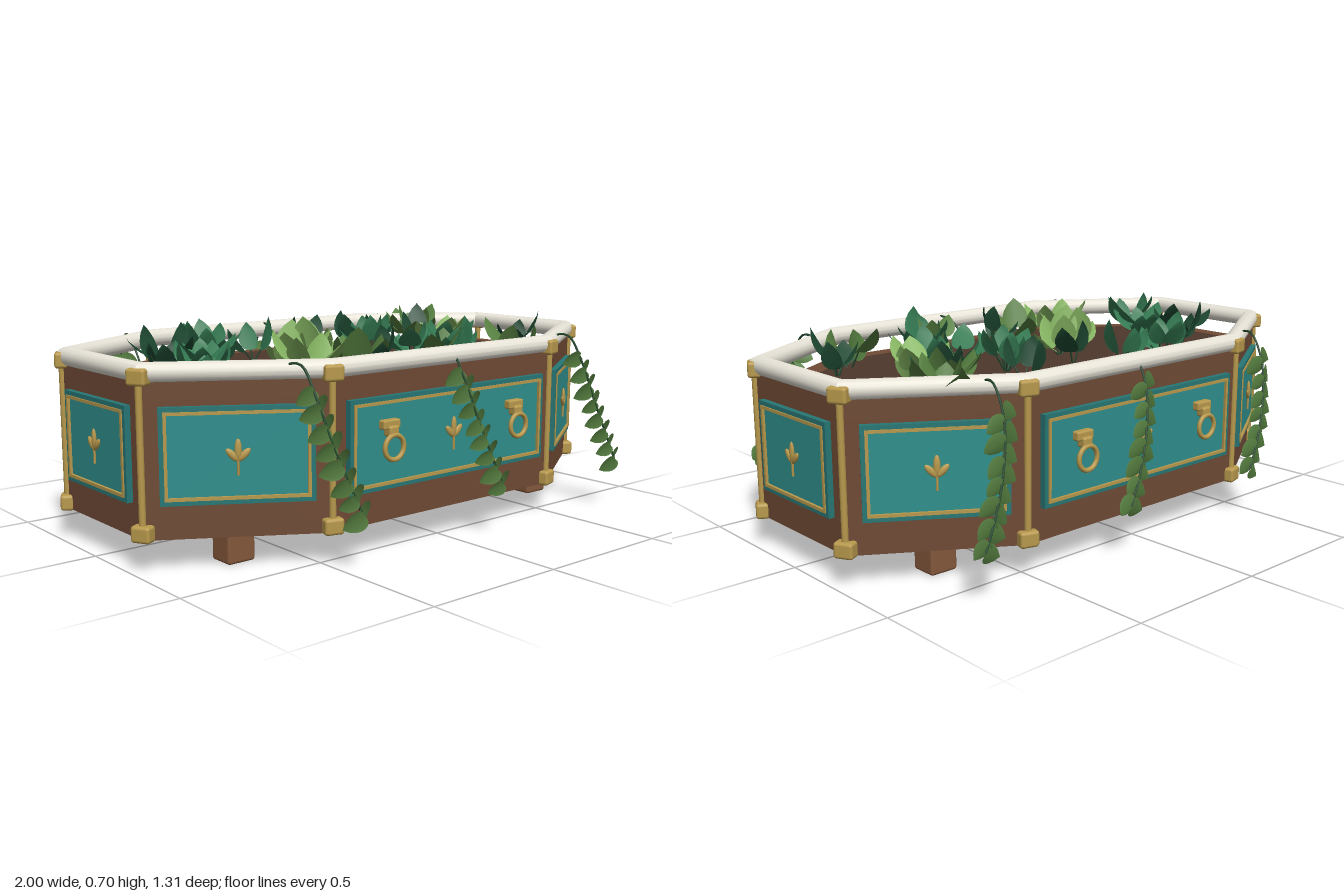
import * as THREE from 'three';
import { toCreasedNormals } from 'three/addons/utils/BufferGeometryUtils.js';
import { RoundedBoxGeometry } from 'three/addons/geometries/RoundedBoxGeometry.js';

const mat = (color, side = THREE.FrontSide) => new THREE.MeshStandardMaterial({ color, side });
const WOOD = mat(0x6f4a35), LEG = mat(0x85593c), SOIL = mat(0x4e372b), RIM = mat(0xe8e4d8);
const TEAL = mat(0x2f8f8d), TRIM = mat(0x277775), GOLD = mat(0xb8994d), STEM = mat(0x24482f);
const GREENS = [0x1f4a33, 0x347a52, 0x567f40, 0x86b562].map(c => mat(c, THREE.DoubleSide));

// Octagonal plan as [x, z]
const PLAN = [[.967, -.245], [.967, .245], [.505, .537], [-.48, .537],
  [-.967, .245], [-.967, -.245], [-.48, -.537], [.505, -.537]];
const N = PLAN.length;

function mesh(parent, name, geometry, material, x = 0, y = 0, z = 0) {
  const m = new THREE.Mesh(geometry, material);
  m.name = name;
  m.position.set(x, y, z);
  parent.add(m);
  return m;
}

function edge(i) {
  const [px, pz] = PLAN[i % N], [qx, qz] = PLAN[(i + 1) % N];
  const length = Math.hypot(qx - px, qz - pz);
  return { length, x: (px + qx) / 2, z: (pz + qz) / 2, nx: (qz - pz) / length, nz: (px - qx) / length };
}

// Plan moved inwards by d with mitred corners
function inset(d) {
  return PLAN.map(([x, z], i) => {
    const a = edge(i + N - 1), b = edge(i);
    const k = d / (1 + a.nx * b.nx + a.nz * b.nz);
    return [x - (a.nx + b.nx) * k, z - (a.nz + b.nz) * k];
  });
}

const toPoints = plan => plan.map(([x, z]) => new THREE.Vector2(x, -z));

function slab(outer, y0, y1, hole) {
  const shape = new THREE.Shape(toPoints(outer));
  if (hole) shape.holes.push(new THREE.Path(toPoints(hole)));
  return new THREE.ExtrudeGeometry(shape, { depth: y1 - y0, bevelEnabled: false })
    .rotateX(-Math.PI / 2).translate(0, y0, 0);
}

// Round rail following the plan
function railGeometry(y, r, d, sides = 14) {
  const pos = [], idx = [];
  for (let k = 0; k < sides; k++) {
    const a = k / sides * Math.PI * 2;
    for (const [x, z] of inset(d - r * Math.cos(a))) pos.push(x, y + r * Math.sin(a), z);
  }
  for (let k = 0; k < sides; k++) for (let i = 0; i < N; i++) {
    const j = (i + 1) % N, a = k * N, b = ((k + 1) % sides) * N;
    idx.push(a + i, b + i, b + j, a + i, b + j, a + j);
  }
  const g = new THREE.BufferGeometry();
  g.setAttribute('position', new THREE.Float32BufferAttribute(pos, 3));
  g.setIndex(idx);
  return toCreasedNormals(g, .55);
}

function rect(S, w, h) {
  return new S([[-w, -h], [w, -h], [w, h], [-w, h]].map(([x, y]) => new THREE.Vector2(x / 2, y / 2)));
}

function frameGeometry(w, h, t, depth) {
  const s = rect(THREE.Shape, w, h);
  s.holes.push(rect(THREE.Path, w - 2 * t, h - 2 * t));
  return new THREE.ExtrudeGeometry(s, { depth, bevelEnabled: false });
}

// Unit leaf with its base at the origin, folded at the midrib and curling back
function leafGeometry(width, notch) {
  const s = new THREE.Shape();
  s.moveTo(0, 0);
  s.bezierCurveTo(width * .7, -notch, width * 1.2, .55, 0, 1);
  s.bezierCurveTo(-width * 1.2, .55, -width * .7, -notch, 0, 0);
  const g = new THREE.ShapeGeometry(s, 8), p = g.attributes.position;
  for (let i = 0; i < p.count; i++) {
    const x = p.getX(i), y = p.getY(i);
    p.setZ(i, Math.abs(x) * .25 - y * y * .12);
  }
  g.computeVertexNormals();
  return g;
}
const LEAF = leafGeometry(.48, .05), HEART = leafGeometry(.6, .25);

// Three-petal ornament
function addEmblem(parent) {
  const g = new THREE.Group();
  g.name = 'emblem';
  g.position.set(0, .35, .022);
  for (const [a, len] of [[-.75, .052], [0, .068], [.75, .052]]) {
    const petal = mesh(g, 'petal', new THREE.SphereGeometry(.5, 12, 8).translate(0, .5, 0), GOLD, 0, -.012);
    petal.scale.set(.022, len, .014);
    petal.rotation.z = a;
  }
  mesh(g, 'emblemStem', new THREE.CylinderGeometry(.004, .004, .045, 8), GOLD, 0, -.032);
  parent.add(g);
}

// Ring pull with its mount
function addHandle(parent, x) {
  mesh(parent, 'handleMount', new RoundedBoxGeometry(.07, .03, .03, 2, .006), GOLD, x, .415, .024);
  mesh(parent, 'handleKnuckle', new RoundedBoxGeometry(.04, .035, .035, 2, .008), GOLD, x, .395, .034);
  mesh(parent, 'handleRing', new THREE.TorusGeometry(.039, .008, 10, 28), GOLD, x, .345, .048);
}

function addSide(parent, i) {
  const e = edge(i), w = e.length - .105, h = .295, y = .355;
  const side = new THREE.Group();
  side.name = 'sidePanel';
  side.position.set(e.x, 0, e.z);
  side.rotation.y = Math.atan2(e.nx, e.nz);
  mesh(side, 'panelBoard', new THREE.BoxGeometry(w - .02, h - .02, .03), TEAL, 0, y, 0);
  mesh(side, 'panelBorder', frameGeometry(w, h, .015, .03), TRIM, 0, y, -.01);
  mesh(side, 'panelFrame', frameGeometry(w - .028, h - .028, .01, .034), GOLD, 0, y, -.01);
  addEmblem(side);
  if (e.length > .8) for (const x of [-.285, .285]) addHandle(side, x);
  parent.add(side);
}

// Trailing vine with alternating leaves
function addVine(parent, x0, s, rand) {
  const vine = new THREE.Group();
  vine.name = 'trailingVine';
  const path = [[0, .53, .37], [.01, .61, .45], [.025, .622, .52], [.035, .53, .58],
    [.065, .4, .615], [.11, .28, .635], [.16, .17, .645]];
  const curve = new THREE.CatmullRomCurve3(path.map(([x, y, z]) => new THREE.Vector3(x0 + x, y, s * z)));
  mesh(vine, 'vineStem', new THREE.TubeGeometry(curve, 36, .004, 6), STEM);
  for (let k = 0; k < 15; k++) {
    const p = curve.getPointAt(.4 + .6 * k / 14), dir = k % 2 ? 1 : -1;
    const leaf = mesh(vine, 'vineLeaf', HEART, GREENS[2], p.x, p.y, p.z + s * .004);
    leaf.rotation.set(s * (.1 + rand() * .15), dir * .3 * s, Math.PI + dir * (.75 + rand() * .4));
    leaf.scale.setScalar(.062 + rand() * .016);
  }
  parent.add(vine);
}

// Plant clumps: x, z, green, leaf count
const CLUMPS = [[-.38, -.28, 1, 8], [-.21, -.25, 1, 3], [-.65, -.14, 0, 8], [-.58, 0, 1, 7], [-.72, .2, 1, 6],
  [-.25, .05, 3, 6], [-.14, 0, 3, 5], [-.35, .25, 3, 4], [-.15, .26, 2, 5], [-.09, .3, 0, 4], [-.03, -.18, 0, 2],
  [.27, -.26, 0, 3], [.2, -.09, 1, 8], [.26, .08, 1, 7], [.4, .12, 1, 3], [.25, .31, 1, 8], [.17, .33, 2, 3],
  [.54, -.22, 2, 6], [.52, -.13, 0, 4], [.66, -.33, 2, 5], [.52, -.01, 3, 6], [.67, .23, 0, 4], [.56, .32, 2, 3]];

function addClump(parent, [x, z, tone, count], rand) {
  const plant = new THREE.Group();
  plant.name = 'plant';
  plant.position.set(x, .525, z);
  for (let k = 0; k < count; k++) {
    const az = (k + rand() * .7) / count * Math.PI * 2, tilt = .3 + rand() * .8, r = .015 + rand() * .035;
    const base = new THREE.Vector3(Math.sin(az) * r, .02 + rand() * .05, Math.cos(az) * r);
    const stalk = new THREE.LineCurve3(new THREE.Vector3(0, -.01, 0), base);
    mesh(plant, 'leafStalk', new THREE.TubeGeometry(stalk, 1, .003, 5), STEM);
    const leaf = mesh(plant, 'leaf', tone > 1 ? HEART : LEAF, GREENS[tone], base.x, base.y, base.z);
    leaf.rotation.set(tilt, az, (rand() - .5) * .5, 'YXZ');
    leaf.scale.setScalar(.09 + rand() * .035);
  }
  parent.add(plant);
}

export function createModel() {
  const model = new THREE.Group();
  model.name = 'planter';
  let seed = 7;
  const rand = () => (seed = (seed * 16807) % 2147483647) / 2147483647;

  // Box, soil and rim
  mesh(model, 'body', slab(PLAN, .1, .52), WOOD);
  mesh(model, 'upperWall', slab(PLAN, .52, .6, inset(.035)), WOOD);
  mesh(model, 'soil', slab(inset(.087), .51, .526), SOIL);
  mesh(model, 'rim', railGeometry(.602, .031, .014), RIM);

  // Feet
  for (const x of [-.685, .68]) for (const z of [-.303, .303])
    mesh(model, 'foot', new RoundedBoxGeometry(.1, .11, .094, 2, .01), LEG, x, .055, z);

  // Panels, corner posts and caps
  PLAN.forEach(([x, z], i) => {
    addSide(model, i);
    const a = edge(i + N - 1), b = edge(i), turn = Math.atan2(a.nx + b.nx, a.nz + b.nz);
    mesh(model, 'cornerPost', new THREE.CylinderGeometry(.011, .011, .46, 10), GOLD, x, .355, z);
    for (const y of [.122, .592])
      mesh(model, 'cornerCap', new RoundedBoxGeometry(.064, .052, .045, 2, .01), GOLD, x, y, z).rotation.y = turn;
  });

  // Greenery
  CLUMPS.forEach(c => addClump(model, c, rand));
  for (const x of [-.61, 0, .6]) for (const s of [1, -1]) addVine(model, x, s, rand);
  return model;
}
